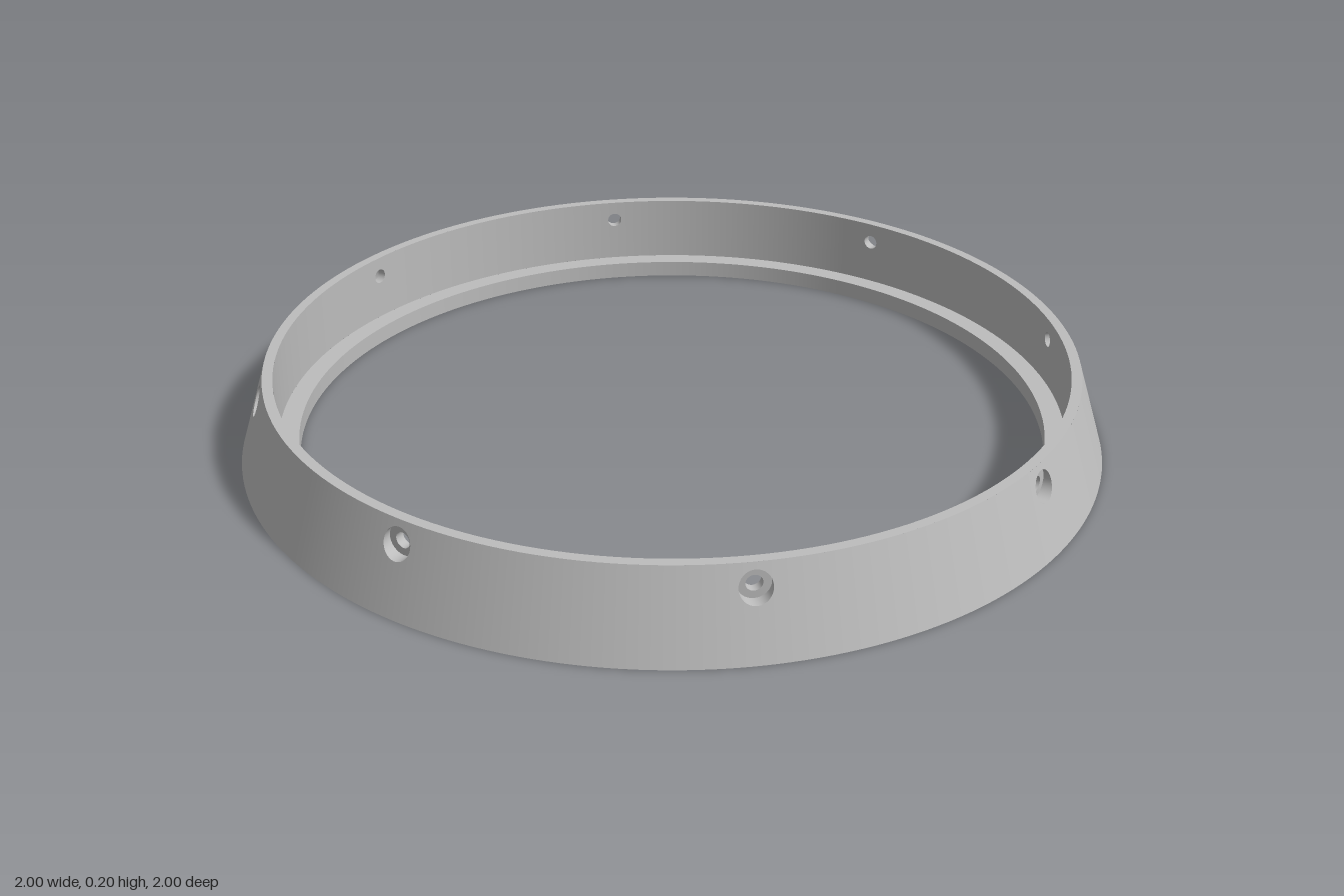
import * as THREE from 'three';

const HOLES = 8, SECTOR = Math.PI * 2 / HOLES, HALF = 0.06; // HALF: half angle of the wall patch around a hole
const HEIGHT = 0.2, LEDGE = 0.04, HOLE_Y = 0.15;
const BASE_R = 1, TOP_R = 0.938, WALL_R = 0.914, LIP_R = 0.867;
const BORE_R = 0.035, BOLT_R = 0.018, SEAT_Z = 0.935;

const outerR = (y) => BASE_R + (TOP_R - BASE_R) * y / HEIGHT;
const innerR = () => WALL_R;

// Revolve one straight edge of the profile
function revolve(r0, y0, r1, y1, segments = 192, start = 0, length = Math.PI * 2) {
  return new THREE.LatheGeometry([new THREE.Vector2(r0, y0), new THREE.Vector2(r1, y1)], segments, start, length);
}

// Loops share one layout: four sides of 8 points, counterclockwise seen from outside
const SIDE = 8;
function loop(place) {
  const points = [];
  for (let k = 0; k < 4; k++) {
    for (let i = 0; i < SIDE; i++) {
      const p = i / SIDE * 2 - 1;
      const [px, py] = [[1, p], [-p, 1], [-1, -p], [p, -1]][k];
      points.push(place(px, py, k * Math.PI / 2 + p * Math.PI / 4));
    }
  }
  return points;
}
const wallFrame = (radius, bottom) => loop((px, py) => {
  const y = HOLE_Y + py * (py > 0 ? HEIGHT - HOLE_Y : HOLE_Y - bottom);
  const r = radius(y), a = px * HALF;
  return new THREE.Vector3(r * Math.sin(a), y, r * Math.cos(a));
});
const circle = (size, depth) => loop((px, py, a) => {
  const x = size * Math.cos(a), y = HOLE_Y + size * Math.sin(a);
  return new THREE.Vector3(x, y, depth(x, y));
});
const onWall = (radius) => (x, y) => Math.sqrt(radius(y) ** 2 - x * x);

// Surface between two matching loops, with optional exact normals
function band(a, b, normalAt) {
  const n = a.length, index = [];
  for (let i = 0; i < n; i++) {
    const j = (i + 1) % n;
    index.push(i, j, n + i, n + i, j, n + j);
  }
  const points = [...a, ...b];
  const geometry = new THREE.BufferGeometry().setFromPoints(points);
  geometry.setIndex(index);
  geometry.computeVertexNormals();
  if (normalAt) {
    points.forEach((p, i) => {
      const v = normalAt(p).normalize();
      geometry.attributes.normal.setXYZ(i, v.x, v.y, v.z);
    });
  }
  return geometry;
}

export function createModel() {
  const model = new THREE.Group();
  model.name = 'taperedRing';
  const metal = new THREE.MeshStandardMaterial({ color: 0xbcbcbc });
  metal.name = 'grey metal';
  const add = (parent, name, geometry) => {
    const mesh = new THREE.Mesh(geometry, metal);
    mesh.name = name;
    parent.add(mesh);
  };

  // Full-circle faces
  add(model, 'bottomFace', revolve(LIP_R, 0, BASE_R, 0));
  add(model, 'topRim', revolve(TOP_R, HEIGHT, WALL_R, HEIGHT));
  add(model, 'ledge', revolve(WALL_R, LEDGE, LIP_R, LEDGE));
  add(model, 'innerLip', revolve(LIP_R, LEDGE, LIP_R, 0));

  // Wall stretch between two holes
  const span = [22, HALF, SECTOR - 2 * HALF];
  const outerWall = revolve(BASE_R, 0, TOP_R, HEIGHT, ...span);
  const innerWall = revolve(WALL_R, HEIGHT, WALL_R, LEDGE, ...span);

  // Wall patch with a counterbored screw hole, facing +z
  const outerFrame = wallFrame(outerR, 0), innerFrame = wallFrame(innerR, LEDGE);
  const mouth = circle(BORE_R, onWall(outerR));
  const seatOuter = circle(BORE_R, () => SEAT_Z), seatInner = circle(BOLT_R, () => SEAT_Z);
  const exit = circle(BOLT_R, onWall(innerR));
  const slope = (BASE_R - TOP_R) / HEIGHT;
  const parts = {
    outerHoleWall: band(outerFrame, mouth, (p) => {
      const r = Math.hypot(p.x, p.z);
      return new THREE.Vector3(p.x / r, slope, p.z / r);
    }),
    counterbore: band(mouth, seatOuter),
    screwSeat: band(seatOuter, seatInner),
    screwHole: band(seatInner, exit),
    innerHoleWall: band(exit, innerFrame, (p) => new THREE.Vector3(-p.x, 0, -p.z)),
  };

  // Repeat around the ring
  for (let i = 0; i < HOLES; i++) {
    const sector = new THREE.Group();
    sector.name = 'wallSector' + (i + 1);
    sector.rotation.y = i * SECTOR;
    add(sector, 'outerWall', outerWall);
    add(sector, 'innerWall', innerWall);
    for (const [name, geometry] of Object.entries(parts)) add(sector, name, geometry);
    model.add(sector);
  }
  return model;
}
